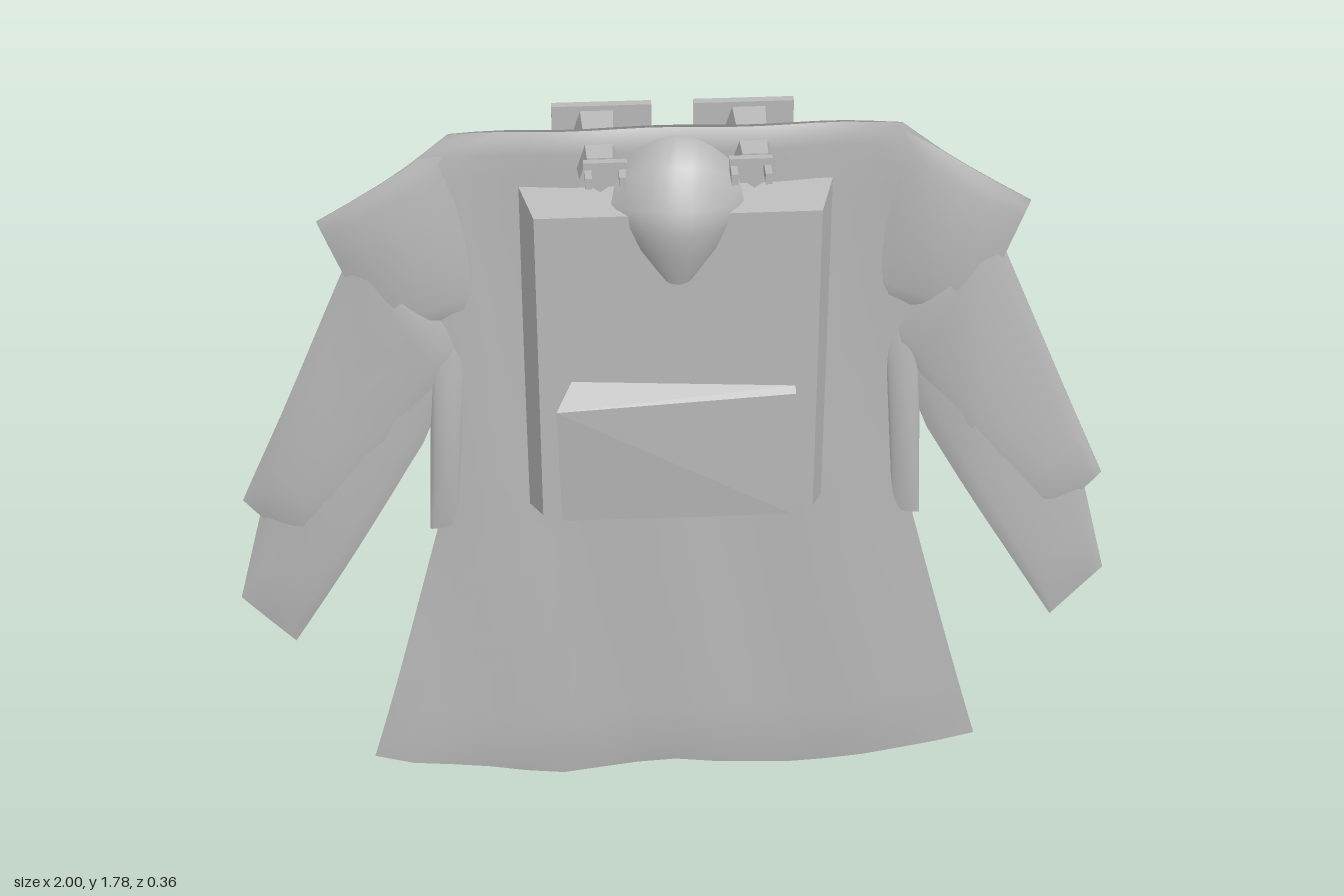
import * as THREE from 'three';
import { ConvexGeometry } from 'three/addons/geometries/ConvexGeometry.js';

const grey = new THREE.MeshStandardMaterial({ color: 0xb8b8b8, side: THREE.DoubleSide });
grey.name = 'plain grey';

const lerp = THREE.MathUtils.lerp;

// Indexed surface from equal-length rows of [x, y, z] points
function loft(rows) {
  const n = rows[0].length, index = [];
  for (let i = 0; i < rows.length - 1; i++) {
    for (let j = 0; j < n - 1; j++) {
      const a = i * n + j, b = a + n;
      index.push(a, b, a + 1, b, b + 1, a + 1);
    }
  }
  const g = new THREE.BufferGeometry();
  g.setAttribute('position', new THREE.Float32BufferAttribute(rows.flat(2), 3));
  g.setIndex(index);
  g.computeVertexNormals();
  return g;
}

// Gentle drape of the cloth in depth
function drape(x, y) {
  const a = Math.abs(x);
  const arm = a < 0.35 ? 0 : a < 0.65 ? 0.05 * (a - 0.35) : 0.015 - 0.13 * (a - 0.65);
  return arm + 0.004 * Math.sin(x * 17 + y * 3);
}

// Thin two-sided cloth panel; each row is [[x, y] start, [x, y] end], from top to bottom
function cloth(rows, thick, side = 1, drop = () => 0) {
  const steps = 4, cols = 16, front = [], back = [];
  const last = (rows.length - 1) * steps;
  for (let k = 0; k <= last; k++) {
    const i = Math.min(Math.floor(k / steps), rows.length - 2), t = k / steps - i;
    let [a, b] = [0, 1].map((e) => [
      side * lerp(rows[i][e][0], rows[i + 1][e][0], t),
      lerp(rows[i][e][1], rows[i + 1][e][1], t),
    ]);
    if (side < 0) [a, b] = [b, a];
    const end = k === 0 || k === last ? 0.2 : 1;
    const f = [], r = [];
    for (let j = 0; j <= cols; j++) {
      const u = j / cols, x = lerp(a[0], b[0], u);
      const y = lerp(a[1], b[1], u) + drop(x, k / last);
      const h = thick * end * Math.pow(Math.sin(Math.PI * u), 0.5) + 0.001;
      f.push([x, y, drape(x, y) + h]);
      r.unshift([x, y, drape(x, y) - h]);
    }
    front.push(f);
    back.push(r);
  }
  return [loft(front), loft(back)];
}

export function createModel() {
  const model = new THREE.Group();
  const add = (name, geometry) => {
    const m = new THREE.Mesh(geometry, grey);
    m.name = name;
    model.add(m);
    return m;
  };
  const addCloth = (name, ...args) =>
    cloth(...args).forEach((g, i) => add(name + (i ? 'Back' : 'Front'), g));
  const convex = (name, pts) => add(name, new ConvexGeometry(pts.map((p) => new THREE.Vector3(...p))));
  const box = (name, w, h, d, x, y, z) => add(name, new THREE.BoxGeometry(w, h, d).translate(x, y, z));

  // Coat body with a scalloped hem
  const hem = (x, t) => {
    const a = Math.abs(x), v = a < 0.3 ? 0.03 - 0.1 * a : (a - 0.3) * 0.19;
    return t > 0.66 ? (v - 0.08) * (t - 0.66) / 0.34 : 0;
  };
  const body = [[0.47, 1.78], [0.6, 1.68], [0.56, 1.45], [0.53, 1.2], [0.53, 1.0], [0.54, 0.76], [0.63, 0.42], [0.72, 0.08]];
  addCloth('coatBody', body.map(([w, y]) => [[-w, y], [w, y]]), 0.018, 1, hem);

  for (const s of [1, -1]) {
    const tag = s > 0 ? 'left' : 'right';
    // Layered sleeves, from [inner, outer] edges
    addCloth(tag + 'ShoulderCap', [[[0.4, 1.35], [0.46, 1.78]], [[0.64, 1.28], [0.755, 1.575]]], 0.024, s);
    addCloth(tag + 'UpperSleeve', [
      [[0.45, 1.25], [0.66, 1.56]], [[0.56, 1.08], [0.71, 1.45]],
      [[0.7, 0.9], [0.87, 1.07]], [[0.86, 0.71], [0.973, 0.83]],
    ], 0.02, s);
    addCloth(tag + 'LowerSleeve', [
      [[0.46, 1.25], [0.66, 1.5]], [[0.56, 1.0], [0.8, 1.18]],
      [[0.72, 0.715], [0.93, 0.82]], [[0.883, 0.425], [1.0, 0.55]],
    ], 0.014, s);
    addCloth(tag + 'SideVent', [[[0.45, 1.28], [0.53, 1.28]], [[0.49, 0.77], [0.555, 0.76]]], 0.02, s);

    // Strap over the top of the pack, with a tab behind and prongs in front
    const strap = new THREE.CylinderGeometry(0.045, 0.06, 0.18, 5).toNonIndexed();
    strap.rotateX(Math.PI / 2).translate(s * 0.16, 1.715, -0.02);
    strap.computeVertexNormals();
    add(tag + 'TopStrap', strap);
    box(tag + 'BackTab', 0.21, 0.14, 0.018, s * 0.15, 1.705, -0.113);
    for (const x of [0.115, 0.185]) box(tag + 'Prong', 0.014, 0.025, 0.06, s * x, 1.72, 0.09);
    box(tag + 'Buckle', 0.09, 0.016, 0.015, s * 0.15, 1.745, 0.085);

    // Harness ribbon on the back of the pack
    add(tag + 'HarnessStrap', loft([
      [[s * 0.2, 1.5, -0.13], [s * 0.24, 1.52, -0.13]],
      [[s * 0.27, 1.37, -0.155], [s * 0.345, 1.35, -0.175]],
    ]));
    add(tag + 'HarnessSide', loft([
      [[s * 0.28, 1.37, -0.135], [s * 0.33, 1.37, -0.15]],
      [[s * 0.28, 1.02, -0.135], [s * 0.33, 1.02, -0.15]],
    ]));
    add(tag + 'HarnessEnd', loft([
      [[s * 0.28, 1.03, -0.155], [s * 0.345, 1.04, -0.178]],
      [[s * 0.22, 0.92, -0.13], [s * 0.27, 0.9, -0.13]],
    ]));
  }

  // Pack, widest at its middle seam
  const ring = (w, y0, y1, z) => [[-w, y0, z], [w, y0, z], [w, y1, z], [-w, y1, z]];
  convex('pack', [...ring(0.3, 0.86, 1.63, 0.103), ...ring(0.335, 0.82, 1.66, -0.005), ...ring(0.298, 0.84, 1.63, -0.132)]);

  // Wedge-shaped pocket
  convex('packPocket', [
    [-0.265, 1.19, 0.178], [-0.23, 1.228, 0.118], [0.25, 1.215, 0.14], [0.25, 1.2, 0.15],
    [-0.258, 0.88, 0.152], [0.25, 0.872, 0.146], [-0.255, 0.885, 0.146],
  ]);

  // Rounded flap folding over the top: [half width, y, z]
  const flap = [
    [0.1, 1.69, -0.09], [0.11, 1.75, -0.04], [0.12, 1.768, 0.02], [0.13, 1.735, 0.09],
    [0.14, 1.66, 0.142], [0.122, 1.6, 0.148], [0.1, 1.53, 0.132], [0.045, 1.46, 0.107],
  ];
  add('topFlap', loft(flap.map(([w, y, z]) => {
    const dir = new THREE.Vector2(1.6 - y, -z).normalize(), row = [];
    for (let j = -5; j <= 5; j++) {
      const u = j / 5, sag = 0.075 * (w / 0.14) * u * u;
      row.push([w * u, y + dir.x * sag, z + dir.y * sag]);
    }
    return row;
  })));

  return model;
}
